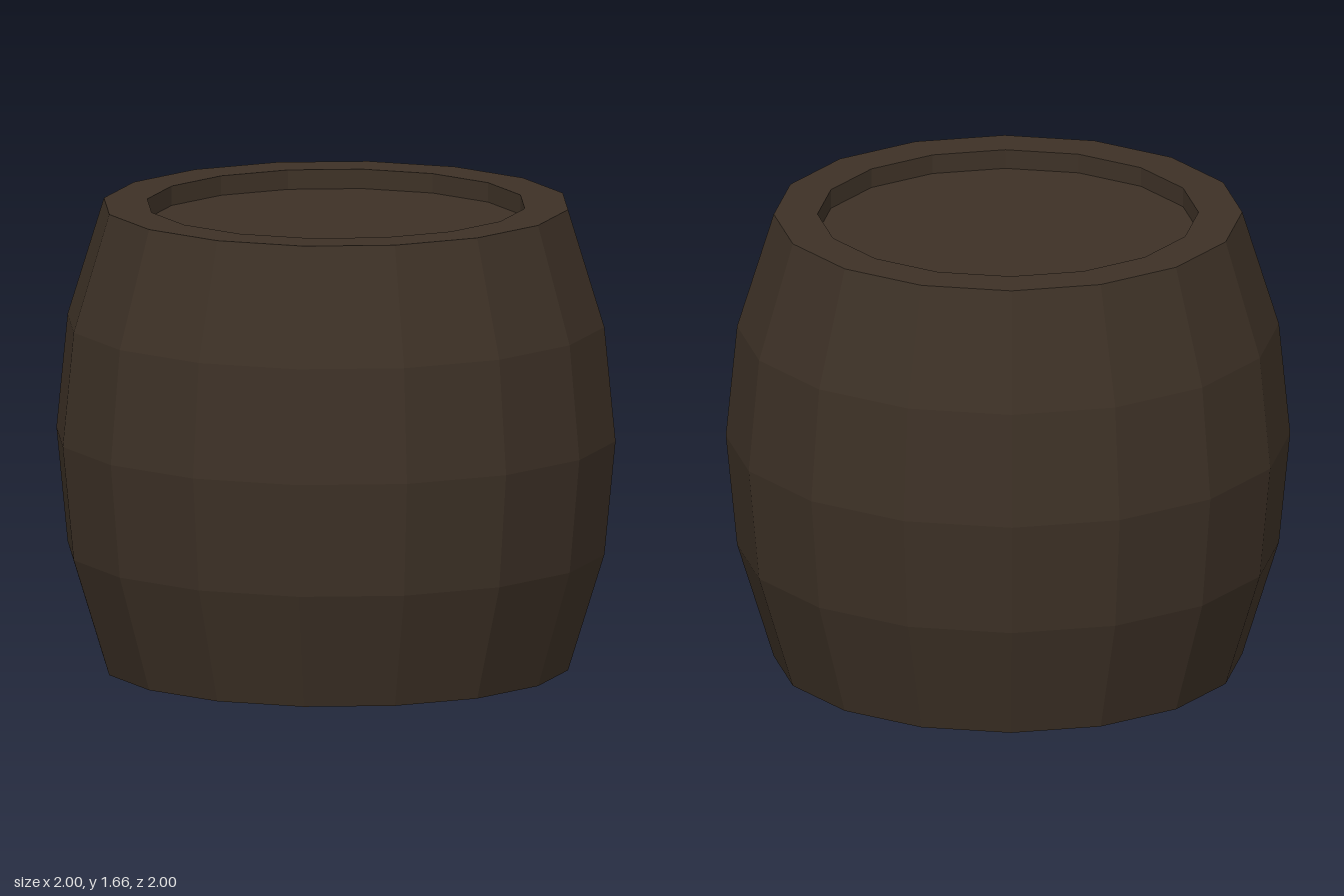
import * as THREE from 'three';

const SIDES = 16;
const HEIGHT = 1.66;
const RIM_RADIUS = 0.83;
const HEAD_RADIUS = 0.675;
const RECESS = 0.07;

// Faceted surface of revolution; profile runs counter-clockwise (outside faces right)
function facetedLathe(profile) {
  const points = profile.map(([r, y]) => new THREE.Vector2(r, y));
  const geometry = new THREE.LatheGeometry(points, SIDES).toNonIndexed();
  geometry.computeVertexNormals();
  return geometry;
}

export function createModel() {
  const barrel = new THREE.Group();
  barrel.name = 'barrel';

  const darkWood = new THREE.MeshStandardMaterial({ color: 0x3d3126 });
  darkWood.name = 'darkWood';

  const add = (name, geometry) => {
    const mesh = new THREE.Mesh(geometry, darkWood);
    mesh.name = name;
    barrel.add(mesh);
    return mesh;
  };

  // Bulging side wall
  add('staves', facetedLathe([
    [RIM_RADIUS, 0], [0.96, 0.42], [1, HEIGHT / 2], [0.96, HEIGHT - 0.42], [RIM_RADIUS, HEIGHT],
  ]));

  // Flat rims with the inner walls of the recesses
  add('topRim', facetedLathe([
    [RIM_RADIUS, HEIGHT], [HEAD_RADIUS, HEIGHT], [HEAD_RADIUS, HEIGHT - RECESS],
  ]));
  add('bottomRim', facetedLathe([
    [HEAD_RADIUS, RECESS], [HEAD_RADIUS, 0], [RIM_RADIUS, 0],
  ]));

  // Sunken round heads closing both ends
  for (const [name, y, tilt] of [
    ['topHead', HEIGHT - RECESS, -Math.PI / 2],
    ['bottomHead', RECESS, Math.PI / 2],
  ]) {
    const head = add(name, new THREE.CircleGeometry(HEAD_RADIUS, SIDES));
    head.rotation.x = tilt;
    head.position.y = y;
  }

  return barrel;
}
